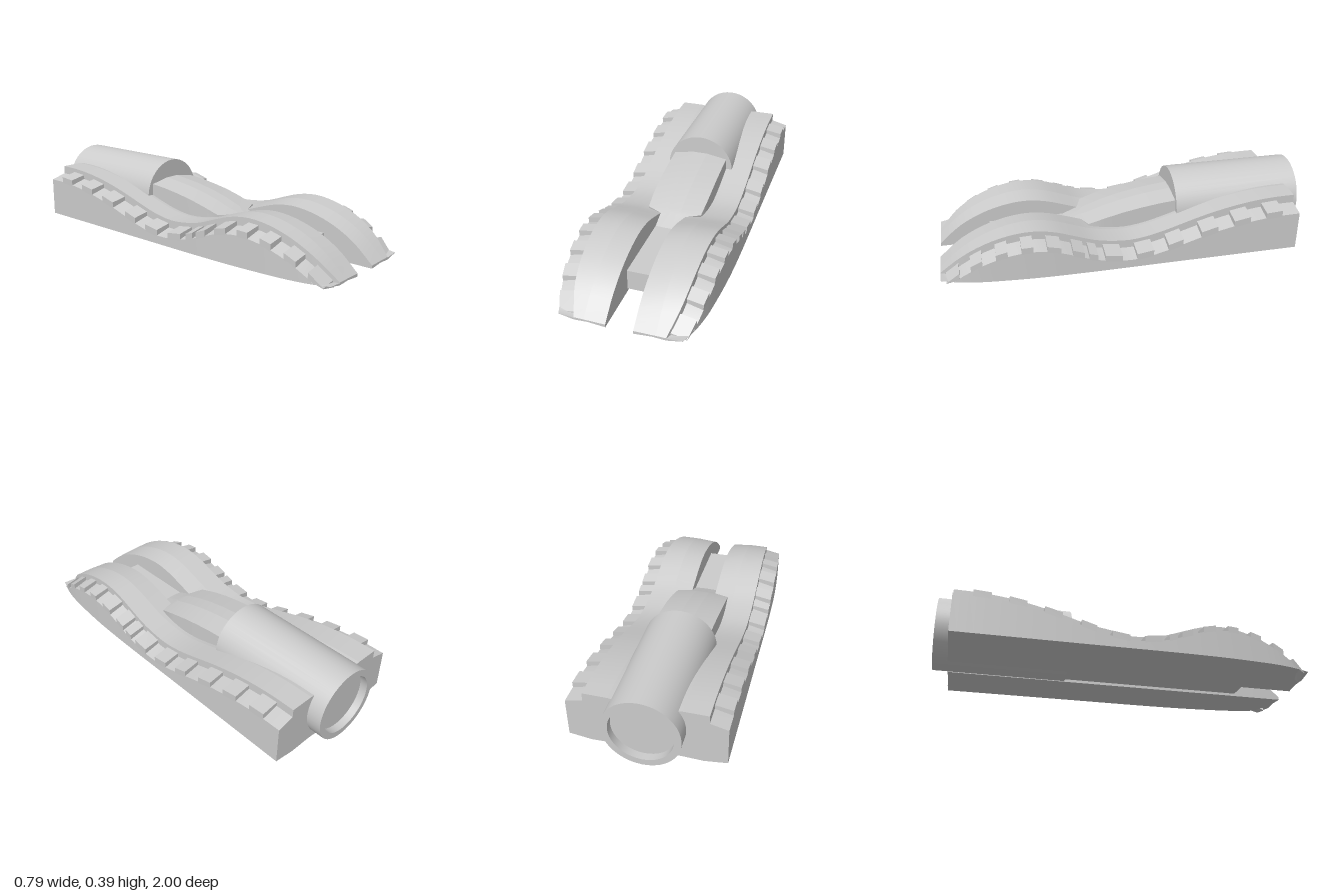
import * as THREE from 'three';

const material = new THREE.MeshStandardMaterial({ color: 0xcccccc });

// Smooth function of z through [z, value] pairs (z ascending).
function curve(pairs) {
  const c = new THREE.CubicInterpolant(pairs.map(p => p[0]), pairs.map(p => p[1]), 1, [0]);
  return z => c.evaluate(z)[0];
}

// Loft of counter-clockwise sections, running from front to back, with capped ends.
// Each side strip has its own vertices: smooth along z, sharp between strips.
function loft(name, sections, side = 1) {
  const pos = [], index = [];
  const secs = sections.map(({ z, pts }) => {
    const p = pts.map(([x, y]) => [x * side, y]);
    if (side < 0) p.reverse();
    return { z, p };
  });
  const n = secs[0].p.length;
  for (let j = 0; j < n; j++) {
    const base = pos.length / 3;
    secs.forEach(({ z, p }, i) => {
      pos.push(...p[j], z, ...p[(j + 1) % n], z);
      if (i === 0) return;
      const a = base + (i - 1) * 2, b = a + 1, c = a + 2, d = a + 3;
      index.push(a, c, b, b, c, d);
    });
  }
  [secs[0], secs[secs.length - 1]].forEach(({ z, p }, end) => {
    const base = pos.length / 3;
    p.forEach(q => pos.push(...q, z));
    const outline = p.map(q => new THREE.Vector2(...q));
    for (const [a, b, c] of THREE.ShapeUtils.triangulateShape(outline, [])) {
      const ccw = THREE.ShapeUtils.area([outline[a], outline[b], outline[c]]) > 0;
      if (ccw === (end === 0)) index.push(base + a, base + b, base + c);
      else index.push(base + a, base + c, base + b);
    }
  });
  const g = new THREE.BufferGeometry();
  g.setAttribute('position', new THREE.Float32BufferAttribute(pos, 3));
  g.setIndex(index);
  g.computeVertexNormals();
  const mesh = new THREE.Mesh(g, material);
  mesh.name = name;
  return mesh;
}

// Wavy top height, rim edge and outer edge of a side pod
const top = curve([
  [-0.92, 0.31], [-0.8, 0.308], [-0.7, 0.3], [-0.6, 0.286], [-0.5, 0.266], [-0.4, 0.241],
  [-0.3, 0.211], [-0.2, 0.18], [-0.1, 0.155], [0, 0.143], [0.1, 0.15], [0.2, 0.17],
  [0.3, 0.206], [0.4, 0.24], [0.5, 0.256], [0.6, 0.25], [0.7, 0.226], [0.8, 0.185],
  [0.9, 0.122], [1, 0.028]]);
const rim = curve([
  [-0.92, 0.305], [-0.2, 0.305], [0.3, 0.304], [0.5, 0.3], [0.7, 0.29], [0.8, 0.282], [0.9, 0.266], [1, 0.23]]);
const edge = curve([
  [-0.92, 0.395], [-0.2, 0.395], [0.3, 0.395], [0.5, 0.39], [0.7, 0.376], [0.8, 0.365], [0.9, 0.345], [1, 0.31]]);

function podSection(z) {
  const t = top(z), r = rim(z), e = edge(z);
  const crown = Math.min(0.015, t * 0.06);
  return { z, pts: [
    [0.07, 0.01], [0.16, 0.018], [Math.min(0.28, e - 0.08), 0.014], [e, 0.03],
    [e, Math.max(0.031, t - 0.068)], [r, Math.max(0.025, t - 0.045)],
    [r, t], [0.18, t], [0.07, t - crown]] };
}

function toothSection(z) {
  const t = top(z), r = rim(z), e = edge(z);
  return { z, pts: [
    [r - 0.01, t - 0.06], [e, Math.max(0.015, t - 0.075)], [e + 0.001, t - 0.038], [r - 0.01, t - 0.02]] };
}

const teeth = [
  [0.97, 0.9], [0.84, 0.78], [0.71, 0.65], [0.58, 0.52], [0.45, 0.38], [0.32, 0.26],
  [0.235, 0.19], [0.15, 0.06], [-0.02, -0.11], [-0.19, -0.27], [-0.37, -0.46],
  [-0.55, -0.64], [-0.73, -0.82]];

function sidePod(side) {
  const pod = new THREE.Group();
  pod.name = side > 0 ? 'leftPod' : 'rightPod';
  const steps = 48, sections = [];
  for (let i = 0; i <= steps; i++) sections.push(podSection(1 - 1.92 * i / steps));
  pod.add(loft('podBody', sections, side));
  for (const [front, back] of teeth) {
    pod.add(loft('tooth', [toothSection(front), toothSection(back)], side));
  }
  return pod;
}

export function createModel() {
  const model = new THREE.Group();
  model.add(sidePod(1), sidePod(-1));

  // Low deck bridging the pods
  const deck = new THREE.Mesh(new THREE.BoxGeometry(0.14, 0.11, 1.02), material);
  deck.name = 'centreDeck';
  deck.position.set(0, 0.08, 0.21);
  model.add(deck);

  // Ridged canopy rising towards the tube: z, half width, ridge height, shoulder height
  const canopy = [
    [0.31, 0.069, 0.135, 0.134], [0.225, 0.072, 0.172, 0.168], [0.195, 0.15, 0.186, 0.176],
    [0.1, 0.156, 0.219, 0.205], [0, 0.158, 0.246, 0.23], [-0.1, 0.158, 0.266, 0.248],
    [-0.2, 0.158, 0.28, 0.262], [-0.3, 0.158, 0.291, 0.271]];
  model.add(loft('canopy', canopy.map(([z, w, ridge, shoulder]) => ({ z, pts: [
    [-w, 0.09], [w, 0.09], [w, shoulder], [w * 0.25, ridge], [-w * 0.25, ridge], [-w, shoulder]] }))));

  // Rear tube, closed in front, with a shallow recess in the back end
  const profile = [[0, -0.96], [0.16, -0.96], [0.16, -1], [0.195, -1], [0.195, -0.29], [0, -0.29]];
  const tube = new THREE.Group();
  tube.name = 'rearTube';
  for (let i = 0; i < profile.length - 1; i++) {
    const pts = [profile[i], profile[i + 1]].map(p => new THREE.Vector2(...p));
    const part = new THREE.Mesh(new THREE.LatheGeometry(pts, 40), material);
    part.name = ['recessFloor', 'recessWall', 'backRim', 'tubeWall', 'frontFace'][i];
    tube.add(part);
  }
  tube.rotation.x = Math.PI / 2;
  tube.position.y = 0.195;
  model.add(tube);

  return model;
}
